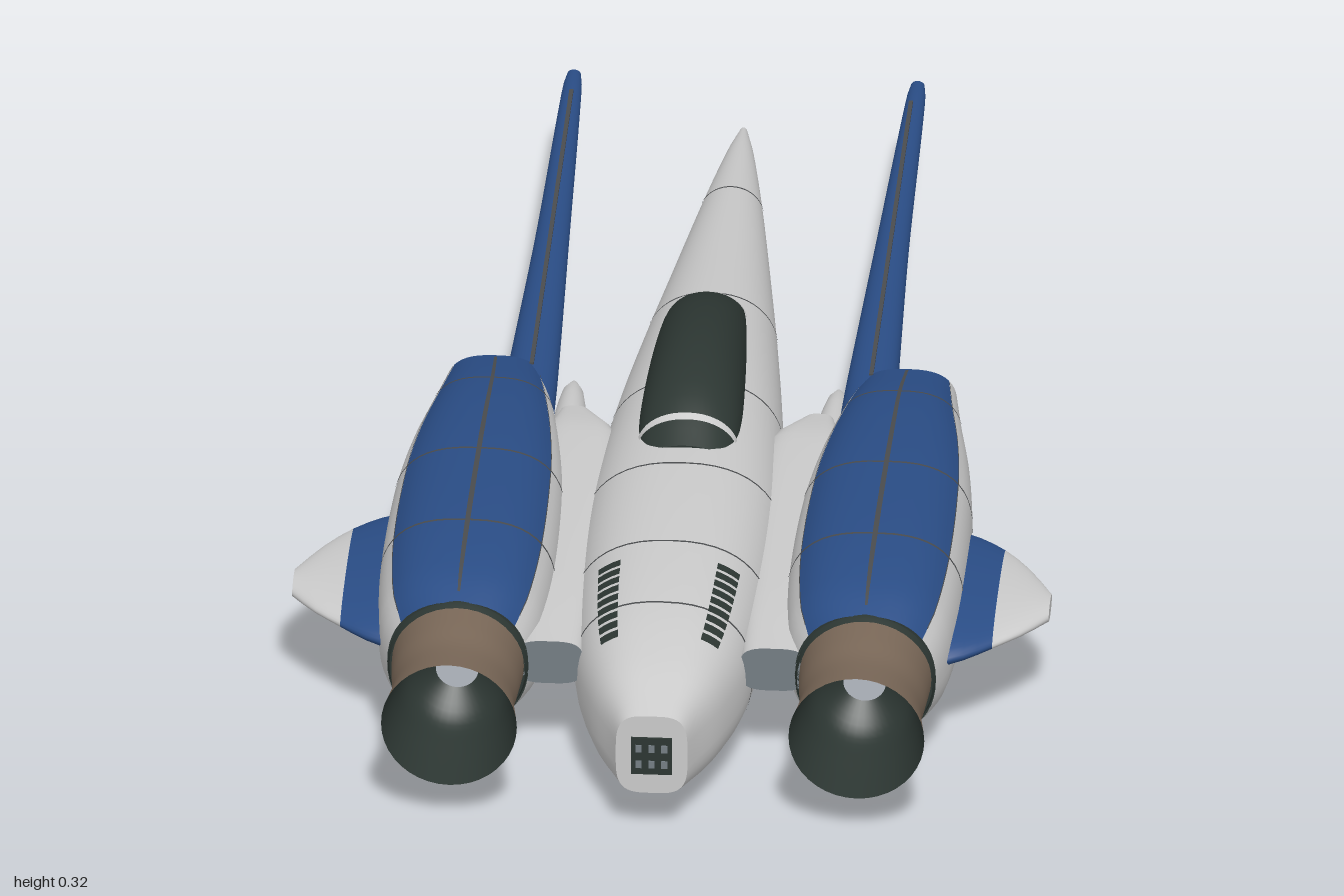
import * as THREE from 'three';
import { mergeVertices } from 'three/addons/utils/BufferGeometryUtils.js';

const mat = (name, color, side = THREE.FrontSide) =>
  Object.assign(new THREE.MeshStandardMaterial({ color, side }), { name });

// Section rows: [z, centreX, halfWidth, bottomY, topY, squareness]
const FUSELAGE = [
  [-0.95, 0, 0.006, 0.108, 0.128, 1], [-0.88, 0, 0.02, 0.096, 0.141, 1], [-0.7, 0, 0.046, 0.075, 0.165, 1],
  [-0.45, 0, 0.077, 0.048, 0.195, 0.95], [-0.25, 0, 0.1, 0.03, 0.22, 0.9], [0, 0, 0.125, 0.014, 0.248, 0.87],
  [0.3, 0, 0.146, 0.004, 0.264, 0.85], [0.55, 0, 0.145, 0.006, 0.266, 0.85], [0.76, 0, 0.128, 0.02, 0.257, 0.82],
  [0.88, 0, 0.098, 0.04, 0.236, 0.75], [0.96, 0, 0.064, 0.06, 0.21, 0.65], [0.99, 0, 0.053, 0.072, 0.2, 0.55],
];
const CANOPY = [
  [-0.26, 0, 0.045, 0.17, 0.22, 1], [-0.2, 0, 0.055, 0.18, 0.262, 1], [-0.1, 0, 0.064, 0.17, 0.303, 0.95],
  [0.05, 0, 0.072, 0.16, 0.325, 0.95], [0.18, 0, 0.075, 0.17, 0.31, 0.95], [0.28, 0, 0.07, 0.18, 0.266, 0.95],
];
const NACELLE = [
  [-0.07, 0.303, 0.073, 0.1, 0.215, 0.75], [0.05, 0.3, 0.092, 0.078, 0.244, 0.75], [0.18, 0.3, 0.112, 0.06, 0.264, 0.75],
  [0.33, 0.3, 0.126, 0.049, 0.279, 0.75], [0.57, 0.3, 0.13, 0.043, 0.29, 0.75], [0.72, 0.3, 0.12, 0.05, 0.283, 0.8],
  [0.78, 0.3, 0.104, 0.06, 0.265, 0.9],
];
const SPIKE = [
  [-1, 0.253, 0.01, 0.172, 0.188, 1], [-0.96, 0.253, 0.014, 0.167, 0.191, 1], [-0.5, 0.25, 0.025, 0.159, 0.2, 1],
  [-0.07, 0.25, 0.038, 0.15, 0.207, 0.9], [0.04, 0.25, 0.04, 0.148, 0.21, 0.9],
];
const POD = [
  [-0.17, 0.195, 0.006, 0.106, 0.122, 1], [-0.14, 0.195, 0.016, 0.093, 0.134, 1], [-0.04, 0.193, 0.026, 0.082, 0.145, 1],
  [0.15, 0.19, 0.036, 0.08, 0.155, 1], [0.45, 0.19, 0.036, 0.08, 0.155, 1], [0.7, 0.19, 0.012, 0.1, 0.14, 1],
];
const STRUT = [
  [0.03, 0.18, 0.022, 0.145, 0.19, 0.6], [0.12, 0.165, 0.055, 0.132, 0.205, 0.6],
  [0.6, 0.165, 0.055, 0.13, 0.21, 0.6], [0.78, 0.165, 0.05, 0.135, 0.205, 0.6],
];
// Fin rows run outward along x; centreX holds the z centre
const FIN = [
  [0.4, 0.54, 0.2, 0.128, 0.205, 1], [0.44, 0.54, 0.18, 0.138, 0.198, 1], [0.485, 0.54, 0.14, 0.147, 0.19, 1],
  [0.525, 0.55, 0.09, 0.152, 0.186, 1], [0.557, 0.56, 0.035, 0.156, 0.181, 1],
];

// Smoothly interpolated section at z
function section(rows, z) {
  let i = 0;
  while (i < rows.length - 2 && z > rows[i + 1][0]) i++;
  const a = rows[i], b = rows[i + 1], h = b[0] - a[0];
  const p = rows[Math.max(i - 1, 0)], q = rows[Math.min(i + 2, rows.length - 1)];
  const t = (z - a[0]) / h, t2 = t * t, t3 = t2 * t;
  return a.map((v, k) => {
    const m0 = (b[k] - p[k]) / (b[0] - p[0]) * h, m1 = (q[k] - a[k]) / (q[0] - a[0]) * h;
    return (2 * t3 - 3 * t2 + 1) * v + (t3 - 2 * t2 + t) * m0 + (3 * t2 - 2 * t3) * b[k] + (t3 - t2) * m1;
  });
}

function pointOn(rows, z, deg, side, grow) {
  const [, cx, w, y0, y1, e] = section(rows, z);
  const c = Math.cos(deg * Math.PI / 180), s = Math.sin(deg * Math.PI / 180);
  const pw = v => Math.sign(v) * Math.abs(v) ** e;
  return [cx * side + (w + grow) * pw(c), (y0 + y1) / 2 + ((y1 - y0) / 2 + grow) * pw(s), z];
}

// Skin of a section profile between two stations and two angles
function skin(rows, { z0 = rows[0][0], z1 = rows.at(-1)[0], a0 = -90, a1 = 270, side = 1, grow = 0, nz, na } = {}) {
  nz ??= Math.max(2, Math.ceil((z1 - z0) / 0.03));
  na ??= Math.max(2, Math.ceil((a1 - a0) / 7.5));
  const pos = [], idx = [];
  for (let i = 0; i <= nz; i++)
    for (let j = 0; j <= na; j++)
      pos.push(...pointOn(rows, z0 + (z1 - z0) * i / nz, a0 + (a1 - a0) * j / na, side, grow));
  for (let i = 0; i < nz; i++)
    for (let j = 0; j < na; j++) {
      const a = i * (na + 1) + j, b = a + na + 1;
      idx.push(a, a + 1, b, a + 1, b + 1, b);
    }
  const g = new THREE.BufferGeometry();
  g.setAttribute('position', new THREE.Float32BufferAttribute(pos, 3));
  g.setIndex(idx);
  const merged = mergeVertices(g, 1e-5);
  merged.computeVertexNormals();
  return merged;
}

// Flat end of a profile, facing +z (dir 1) or -z (dir -1)
function cap(rows, z, dir, side = 1, grow = 0) {
  const [, cx, , y0, y1] = section(rows, z), pos = [cx * side, (y0 + y1) / 2, z], idx = [], n = 48;
  for (let j = 0; j < n; j++) {
    pos.push(...pointOn(rows, z, j * 360 / n, side, grow));
    const a = j + 1, b = (j + 1) % n + 1;
    idx.push(0, ...(dir > 0 ? [a, b] : [b, a]));
  }
  const g = new THREE.BufferGeometry();
  g.setAttribute('position', new THREE.Float32BufferAttribute(pos, 3));
  g.setIndex(idx);
  g.computeVertexNormals();
  return g;
}

export function createModel() {
  const D = THREE.DoubleSide;
  const white = mat('hull white', 0xcacaca), blue = mat('panel blue', 0x2a4d86);
  const brown = mat('nozzle brown', 0x7a6858, D), dark = mat('dark glass', 0x2c3632, D);
  const grey = mat('mid grey', 0x747d84, D), seam = mat('seam grey', 0x4a4c4e), pale = mat('core grey', 0xb4b9c2);
  const root = new THREE.Group();
  root.name = 'spacecraft';
  const add = (parent, name, geo, m) => {
    const mesh = new THREE.Mesh(geo, m);
    mesh.name = name;
    parent.add(mesh);
    return mesh;
  };
  const box = (w, h, d, x, y, z) => new THREE.BoxGeometry(w, h, d).translate(x, y, z);

  // Fuselage with end faces, belly panels and seams
  const hull = new THREE.Group();
  hull.name = 'fuselage';
  root.add(hull);
  add(hull, 'hull', skin(FUSELAGE, { nz: 80 }), white);
  add(hull, 'noseTip', cap(FUSELAGE, -0.95, -1), white);
  add(hull, 'tailFace', cap(FUSELAGE, 0.99, 1), white);
  add(hull, 'bellyPanel', skin(FUSELAGE, { z0: 0.18, z1: 0.54, a0: -122, a1: -58, grow: 0.0015 }), grey);
  add(hull, 'noseBellyPanel', skin(FUSELAGE, { z0: -0.56, z1: -0.34, a0: -122, a1: -58, grow: 0.0015 }), grey);
  for (const z of [-0.7, -0.28, 0.05, 0.33, 0.57, 0.745])
    add(hull, 'hullSeam', skin(FUSELAGE, { z0: z, z1: z + 0.004, grow: 0.001, nz: 1 }), seam);
  add(hull, 'tailPanel', box(0.06, 0.06, 0.008, 0, 0.135, 0.99), dark);
  for (const x of [-0.019, 0, 0.019])
    for (const y of [0.122, 0.148]) add(hull, 'tailLight', box(0.009, 0.012, 0.004, x, y, 0.994), grey);

  // Vent slots on both sides of the spine
  for (let i = 0; i < 9; i++)
    for (const a of [47, 116])
      add(hull, 'ventSlot', skin(FUSELAGE, { z0: 0.615 + i * 0.024, z1: 0.632 + i * 0.024, a0: a, a1: a + 17, grow: 0.002, nz: 1 }), dark);

  // Canopy and its frame bands
  add(hull, 'canopy', skin(CANOPY), dark);
  add(hull, 'canopyFront', cap(CANOPY, -0.26, -1), white);
  add(hull, 'canopyRear', cap(CANOPY, 0.28, 1), dark);
  for (const z of [-0.185, 0.228])
    add(hull, 'canopyFrame', skin(CANOPY, { z0: z, z1: z + 0.011, a0: 0, a1: 180, grow: 0.002, nz: 1 }), white);

  for (const side of [1, -1]) {
    const engine = new THREE.Group();
    engine.name = side > 0 ? 'leftEngine' : 'rightEngine';
    root.add(engine);

    // Nacelle: white sides and belly, blue back
    add(engine, 'nacelleBody', skin(NACELLE, { a0: 142, a1: 398, side }), white);
    add(engine, 'nacelleTop', skin(NACELLE, { a0: 38, a1: 142, side }), blue);
    add(engine, 'nacelleRear', cap(NACELLE, 0.78, 1, side), dark);
    add(engine, 'intakeDuct', skin(NACELLE, { z1: 0.02, side, grow: -0.006 }), grey);
    add(engine, 'intakeBack', cap(NACELLE, 0.02, -1, side, -0.004), dark);
    for (const z of [0.05, 0.33, 0.57])
      add(engine, 'nacelleSeam', skin(NACELLE, { z0: z, z1: z + 0.005, side, grow: 0.001, nz: 1 }), seam);
    for (const a of [38, 89.5, 141])
      add(engine, 'nacelleLine', skin(NACELLE, { z0: -0.06, z1: 0.76, a0: a, a1: a + 1, side, grow: 0.001, na: 1 }), seam);

    // Long forward spike with a thin rail above it
    add(engine, 'spike', skin(SPIKE, { side }), blue);
    add(engine, 'spikeTip', cap(SPIKE, -1, -1, side), blue);
    add(engine, 'spikeRail', box(0.006, 0.004, 0.84, 0.25 * side, 0.208, -0.48), seam);

    // Nozzle: flared shell, collar, dark throat and core disc
    const lathe = pts => new THREE.LatheGeometry(
      new THREE.SplineCurve(pts.map(p => new THREE.Vector2(...p))).getPoints(16), 40)
      .rotateX(Math.PI / 2).translate(0.3 * side, 0.162, 0);
    add(engine, 'nozzle', lathe([[0.098, 0.77], [0.094, 0.83], [0.09, 0.89], [0.1, 0.968]]), brown);
    add(engine, 'nozzleCollar', lathe([[0.103, 0.765], [0.104, 0.778], [0.1, 0.792]]), dark);
    add(engine, 'nozzleThroat', lathe([[0.1, 0.968], [0.086, 0.89], [0.07, 0.83], [0.028, 0.79]]), dark);
    add(engine, 'nozzleCore', new THREE.CircleGeometry(0.032, 24).translate(0.3 * side, 0.162, 0.793), pale);

    // Link to the fuselage and slim inner pod
    add(engine, 'strut', skin(STRUT, { side }), white);
    add(engine, 'strutFront', cap(STRUT, 0.03, -1, side), white);
    add(engine, 'strutRear', cap(STRUT, 0.78, 1, side), grey);
    add(engine, 'innerPod', skin(POD, { side }), white);
    add(engine, 'innerPodTip', cap(POD, -0.17, -1, side), white);

    // Outer fin: blue root, white tip
    const turn = g => g.rotateY(side * Math.PI / 2);
    add(engine, 'finRoot', turn(skin(FIN, { z1: 0.48, side: -side, nz: 4 })), blue);
    add(engine, 'finTip', turn(skin(FIN, { z0: 0.48, side: -side, nz: 4 })), white);
    add(engine, 'finEnd', turn(cap(FIN, 0.557, 1, -side)), white);
  }
  return root;
}
